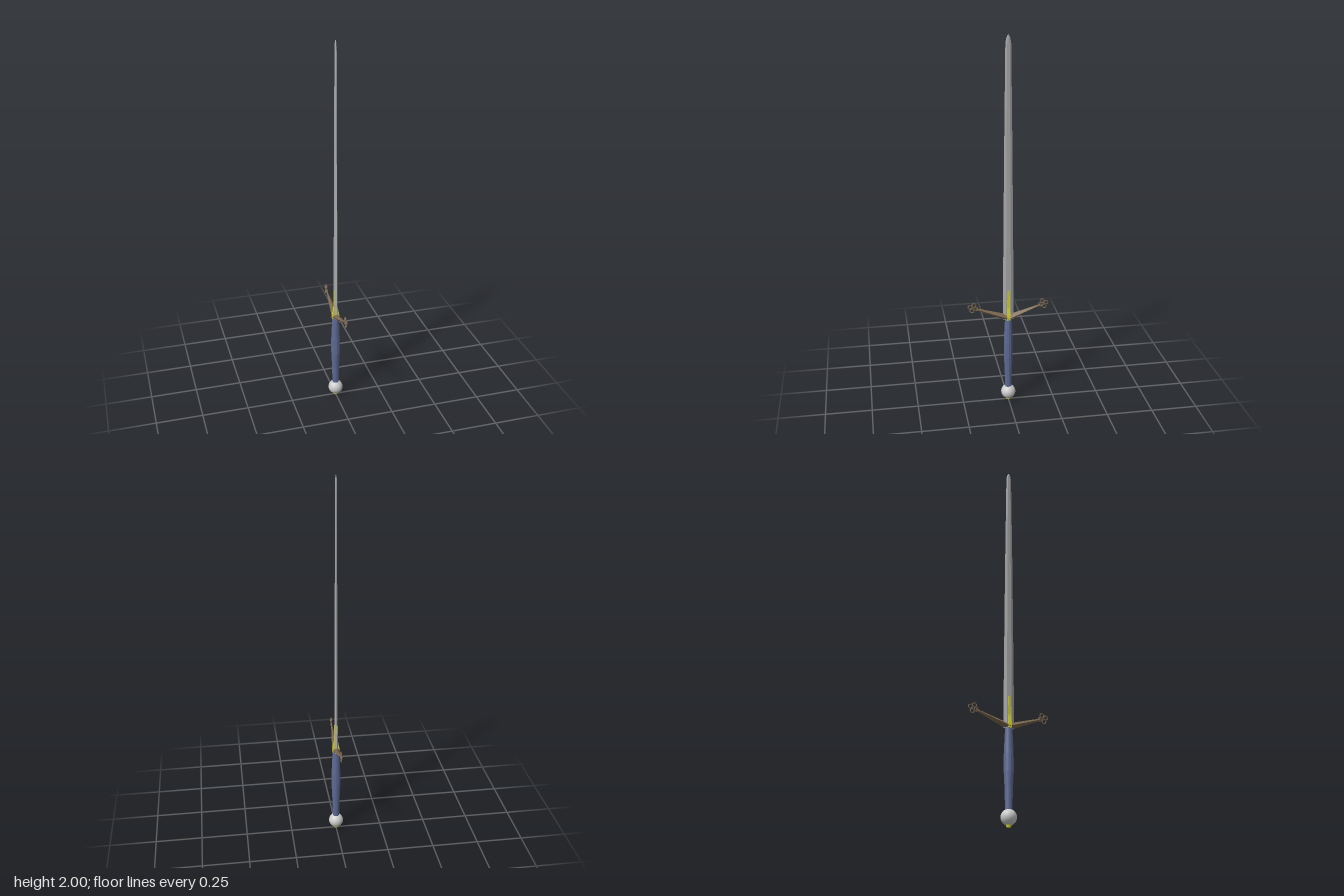
import * as THREE from 'three';

const mat = (color, flatShading = false) => new THREE.MeshStandardMaterial({ color, flatShading });

// Closed skin over rings of [x, y, z] points, each counter-clockwise about the travel direction
function loft(rings) {
  const n = rings[0].length, last = (rings.length - 1) * n, index = [];
  for (let i = 0; i < rings.length - 1; i++) {
    for (let j = 0; j < n; j++) {
      const a = i * n + j, b = i * n + (j + 1) % n;
      index.push(a, b, b + n, a, b + n, a + n);
    }
  }
  for (let j = 1; j < n - 1; j++) {
    index.push(0, j + 1, j, last, last + j, last + j + 1);
  }
  const geo = new THREE.BufferGeometry();
  geo.setAttribute('position', new THREE.Float32BufferAttribute(rings.flat(2), 3));
  geo.setIndex(index);
  geo.computeVertexNormals();
  return geo;
}

export function createModel() {
  const model = new THREE.Group();
  model.name = 'sword';
  const steel = mat(0xaaaaaa, true);
  const bronze = mat(0x7a664e, true);
  const gold = mat(0xd2d22a, true);

  function add(name, geometry, material, parent = model) {
    const mesh = new THREE.Mesh(geometry, material);
    mesh.name = name;
    parent.add(mesh);
    return mesh;
  }

  // Blade: six-sided section, [height, half width, half thickness]
  const blade = [
    [0.49, 0.030, 0.008], [1.41, 0.0215, 0.005], [1.96, 0.0145, 0.004],
    [1.985, 0.010, 0.003], [2.0, 0.003, 0.001],
  ].map(([y, w, t]) => [
    [0, y, w], [t, y, w * 0.45], [t, y, -w * 0.45],
    [0, y, -w], [-t, y, -w * 0.45], [-t, y, w * 0.45],
  ]);
  add('blade', loft(blade), steel);

  // Langet: wedge that hugs the blade above the guard, [height, half x, half z]
  const langet = [
    [0.49, 0.02, 0.009], [0.515, 0.018, 0.009], [0.56, 0.0095, 0.0075], [0.66, 0.0085, 0.006],
  ].map(([y, x, z]) => [[-x, y, z], [x, y, z], [x, y, -z], [-x, y, -z]]);
  add('langet', loft(langet), gold);

  // Crossguard: diamond section, arms rising to both ends, [z, centre y, half x, half height]
  const guard = [
    [-0.175, 0.562, 0.003, 0.006], [0, 0.499, 0.021, 0.019], [0.175, 0.562, 0.003, 0.006],
  ].map(([z, y, x, h]) => [[x, y, z], [0, y + h, z], [-x, y, z], [0, y - h, z]]);
  add('crossguard', loft(guard), bronze);

  // Four-ring ornament on each arm end, one ring in line with the arm
  const ring = new THREE.TorusGeometry(0.0105, 0.003, 6, 16);
  for (const side of [1, -1]) {
    const ornament = new THREE.Group();
    ornament.name = side > 0 ? 'frontQuatrefoil' : 'backQuatrefoil';
    ornament.position.set(0, 0.569, side * 0.19);
    for (let i = 0; i < 4; i++) {
      const a = 0.35 + i * Math.PI / 2;
      const mesh = add('ornamentRing', ring, bronze, ornament);
      mesh.rotation.y = Math.PI / 2;
      mesh.position.set(0, 0.0165 * Math.sin(a), side * 0.0165 * Math.cos(a));
    }
    model.add(ornament);
  }

  // Grip: swollen in the middle
  const grip = [
    [0, 0.075], [0.018, 0.075], [0.02, 0.18], [0.0245, 0.27],
    [0.0245, 0.36], [0.021, 0.44], [0.018, 0.495], [0, 0.495],
  ].map(([r, y]) => new THREE.Vector2(r, y));
  add('grip', new THREE.LatheGeometry(grip, 12), mat(0x5e6a94, true));

  // Pommel and its end cap
  add('pommel', new THREE.SphereGeometry(0.0395, 32, 20), mat(0xcccccc)).position.y = 0.048;
  add('pommelCap', new THREE.CylinderGeometry(0.015, 0.011, 0.016, 12), gold).position.y = 0.008;

  return model;
}
